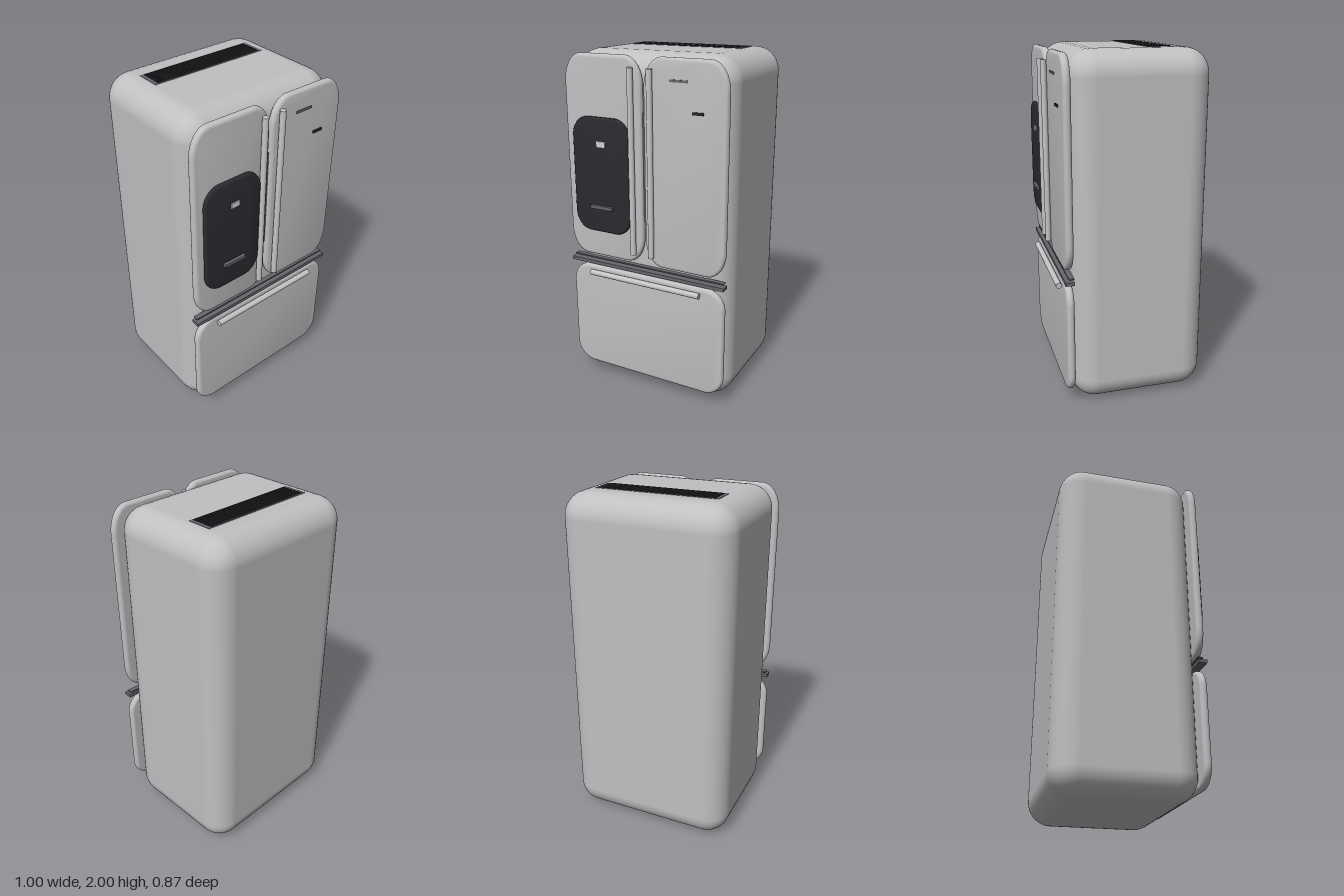
import * as THREE from 'three';
import { toCreasedNormals } from 'three/addons/utils/BufferGeometryUtils.js';
import { RoundedBoxGeometry } from 'three/addons/geometries/RoundedBoxGeometry.js';

function material(name, color) {
  const m = new THREE.MeshStandardMaterial({ color });
  m.name = name;
  return m;
}

// Upright panel with elliptical corners and softly rolled edges
function panelGeometry(x0, x1, y0, y1, z0, z1, rx, ry, bevel) {
  const l = x0 + bevel, r = x1 - bevel, b = y0 + bevel, t = y1 - bevel;
  const s = new THREE.Shape();
  s.moveTo(l + rx, b);
  s.absellipse(r - rx, b + ry, rx, ry, -Math.PI / 2, 0, false);
  s.absellipse(r - rx, t - ry, rx, ry, 0, Math.PI / 2, false);
  s.absellipse(l + rx, t - ry, rx, ry, Math.PI / 2, Math.PI, false);
  s.absellipse(l + rx, b + ry, rx, ry, Math.PI, Math.PI * 1.5, false);
  const g = new THREE.ExtrudeGeometry(s, {
    depth: z1 - z0 - 2 * bevel, bevelThickness: bevel, bevelSize: bevel,
    bevelSegments: 5, curveSegments: 10,
  });
  g.translate(0, 0, z0 + bevel);
  return toCreasedNormals(g, 0.7);
}

export function createModel() {
  const group = new THREE.Group();
  const steel = material('brushed steel', 0xbfc0c1);
  const handleSteel = material('handle steel', 0xc4c5c6);
  const dark = material('dark plastic', 0x2b2a2f);
  const trim = material('grey trim', 0x66666c);
  const light = material('display light', 0xd0d2d4);

  function add(name, geometry, mat) {
    const mesh = new THREE.Mesh(geometry, mat);
    mesh.name = name;
    group.add(mesh);
    return mesh;
  }
  function box(name, x0, x1, y0, y1, z0, z1, mat) {
    const g = new THREE.BoxGeometry(x1 - x0, y1 - y0, z1 - z0);
    g.translate((x0 + x1) / 2, (y0 + y1) / 2, (z0 + z1) / 2);
    return add(name, g, mat);
  }

  // Rounded cabinet
  const body = add('cabinet', new RoundedBoxGeometry(1, 1.995, 0.785, 5, 0.14), steel);
  body.position.set(0, 0.9975, -0.0395);

  // Doors and freezer drawer
  add('rightDoor', panelGeometry(-0.5, -0.006, 0.81, 1.98, 0.35, 0.394, 0.09, 0.14, 0.02), steel);
  add('leftDoor', panelGeometry(0.006, 0.5, 0.81, 1.98, 0.35, 0.394, 0.09, 0.14, 0.02), steel);
  add('freezerDrawer', panelGeometry(-0.5, 0.5, 0.075, 0.74, 0.35, 0.394, 0.1, 0.1, 0.02), steel);

  // Seals between the doors and above the drawer
  box('centreSeal', -0.006, 0.006, 1.1, 1.68, 0.345, 0.375, trim);
  box('dividerRail', -0.5, 0.5, 0.752, 0.772, 0.35, 0.4, trim);
  box('dividerStrip', -0.49, 0.49, 0.783, 0.79, 0.35, 0.38, trim);

  // Bar handles
  for (const [name, x] of [['rightDoorHandle', -0.06], ['leftDoorHandle', 0.057]]) {
    add(name, new THREE.CylinderGeometry(0.017, 0.017, 1.05, 16), handleSteel)
      .position.set(x, 1.395, 0.411);
  }
  const bar = add('drawerHandle', new THREE.CylinderGeometry(0.017, 0.017, 0.716, 16), handleSteel);
  bar.rotation.z = Math.PI / 2;
  bar.position.set(0, 0.7, 0.411);

  // Water dispenser
  add('dispenserPanel', panelGeometry(-0.445, -0.075, 0.97, 1.64, 0.385, 0.416, 0.09, 0.1, 0.012), dark);
  box('dispenserDisplay', -0.28, -0.226, 1.475, 1.507, 0.414, 0.422, light);
  box('dispenserTray', -0.328, -0.185, 1.115, 1.134, 0.41, 0.434, trim);

  // Small plates on the left door
  box('doorPlate', 0.168, 0.276, 1.858, 1.871, 0.39, 0.399, trim);
  box('doorBadge', 0.302, 0.366, 1.7, 1.714, 0.39, 0.402, dark);

  // Top vent with slats
  box('ventFrame', -0.358, 0.358, 1.985, 1.997, -0.236, -0.092, trim);
  for (let i = 0; i < 8; i++) {
    const z = -0.222 + i * 0.0166;
    box('ventSlat' + (i + 1), -0.337, 0.337, 1.99, 2.0, z - 0.0055, z + 0.0055, dark);
  }
  return group;
}
